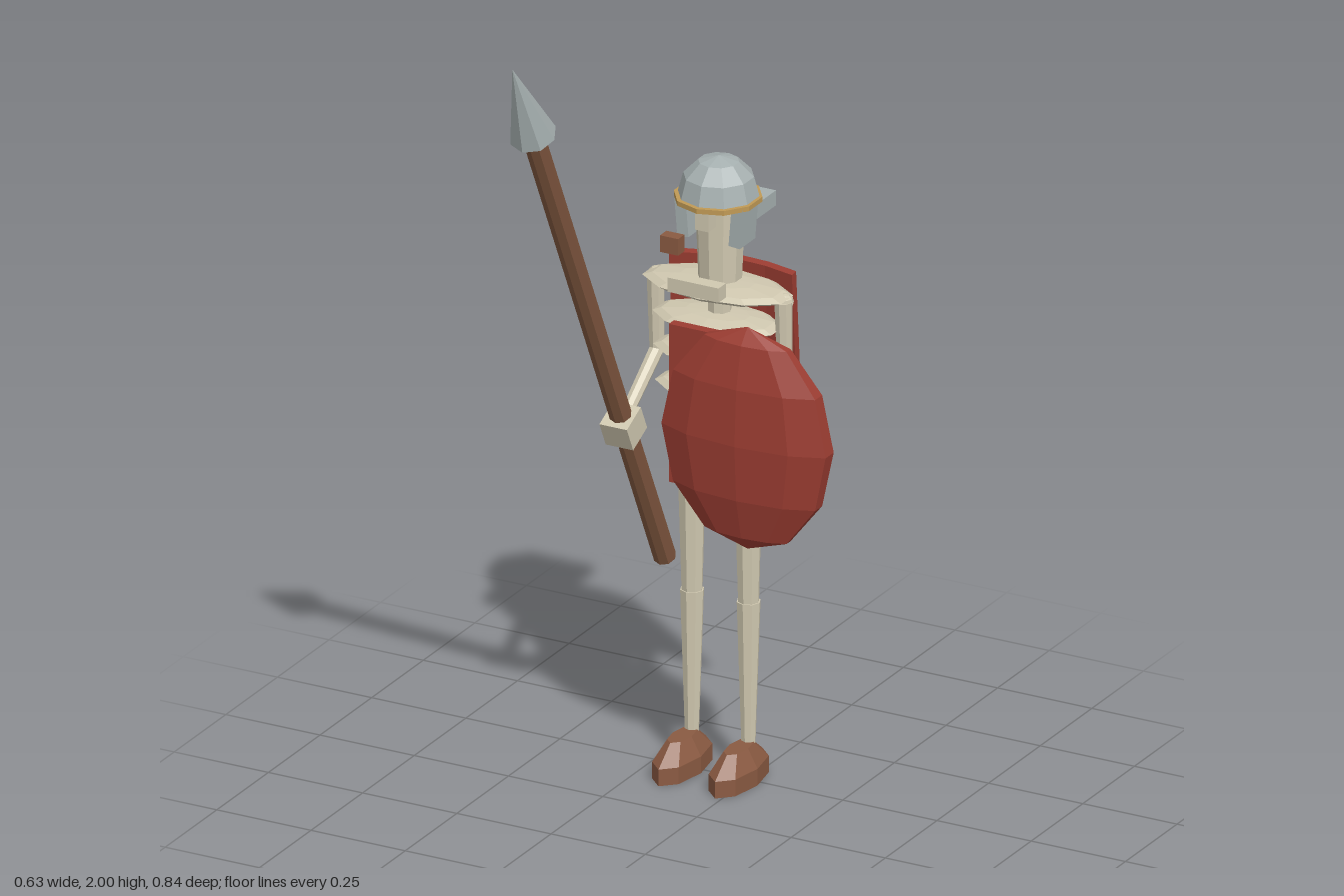
import * as THREE from 'three';

const mat = (name, color) => {
  const m = new THREE.MeshStandardMaterial({ color, flatShading: true });
  m.name = name;
  return m;
};

export function createModel() {
  const bone = mat('bone', 0xd0c8b0);
  const red = mat('red cloth', 0x9c3d32);
  const wood = mat('wood', 0x80573f);
  const leather = mat('leather', 0x8a5a42);
  const steel = mat('steel', 0xa6b0b0);
  const brass = mat('brass', 0xc09a55);

  const root = new THREE.Group();
  root.name = 'skeletonSoldier';
  const CX = -0.09, CZ = -0.275, TILT = 0.454;

  const add = (name, geo, material, x, y, z, parent = root) => {
    const m = new THREE.Mesh(geo, material);
    m.name = name;
    m.position.set(x, y, z);
    parent.add(m);
    return m;
  };
  const box = (name, material, w, h, d, x, y, z) =>
    add(name, new THREE.BoxGeometry(w, h, d), material, x, y, z);
  const ball = (name, material, rx, ry, rz, x, y, z, ws = 10, hs = 6) => {
    const g = new THREE.SphereGeometry(1, ws, hs).rotateY(Math.PI / 2).scale(rx, ry, rz);
    return add(name, g, material, x, y, z);
  };
  // tapered rod between two points
  const rod = (name, material, a, b, ra, rb, sides = 8) => {
    const p = new THREE.Vector3(...a), q = new THREE.Vector3(...b);
    const d = q.clone().sub(p);
    const m = add(name, new THREE.CylinderGeometry(rb, ra, d.length(), sides), material, 0, 0, 0);
    m.position.copy(p).add(q).multiplyScalar(0.5);
    m.quaternion.setFromUnitVectors(new THREE.Vector3(0, 1, 0), d.normalize());
    return m;
  };

  // spine and ribs
  rod('spine', bone, [CX, 0.84, CZ], [CX, 1.26, CZ], 0.028, 0.028);
  [[1.23, 0.194, 0.096], [1.145, 0.166, 0.092], [1.06, 0.164, 0.09], [0.97, 0.16, 0.088]]
    .forEach(([y, rx, rz], i) => ball('rib' + (i + 1), bone, rx, 0.02, rz, CX, y, -0.265));

  // head
  rod('skull', bone, [CX, 1.245, -0.277], [CX, 1.46, -0.277], 0.052, 0.06, 10);
  box('face', bone, 0.035, 0.045, 0.05, CX, 1.418, -0.213);
  box('jaw', bone, 0.136, 0.036, 0.036, CX, 1.262, -0.163);
  box('chinStrapBlock', leather, 0.048, 0.042, 0.031, -0.142, 1.372, -0.14);

  // helmet
  add('helmetDome', new THREE.SphereGeometry(0.097, 10, 3, 0, Math.PI * 2, 0, Math.PI / 2)
    .rotateY(Math.PI / 2), steel, CX, 1.46, -0.27);
  add('helmetBand', new THREE.CylinderGeometry(0.105, 0.105, 0.012, 10), brass, CX, 1.455, -0.267);
  box('neckGuard', steel, 0.17, 0.038, 0.095, CX, 1.42, -0.345);
  for (const s of [-1, 1]) {
    const guard = box('cheekGuard', steel, 0.03, 0.1, 0.075, CX + s * 0.072, 1.405, -0.258);
    guard.rotation.z = -s * 0.08;
  }

  // arms and hands
  for (const [side, x] of [['right', -0.26], ['left', 0.079]]) {
    ball(side + 'Shoulder', bone, 0.023, 0.023, 0.023, x, 1.215, -0.28, 8, 6);
    rod(side + 'UpperArm', bone, [x, 1.22, -0.275], [x, 1.02, -0.282], 0.022, 0.018);
    ball(side + 'Elbow', bone, 0.018, 0.018, 0.018, x, 1.025, -0.28, 8, 6);
    rod(side + 'Forearm', bone, [x, 1.03, -0.285], [x, 0.915, -0.13], 0.018, 0.016);
    box(side + 'Hand', bone, 0.073, 0.07, 0.075, x, 0.893, -0.118).rotation.x = TILT;
  }

  // legs and boots
  const bootProfile = [[0, 0], [1, 0], [1, 0.042], [0.5, 0.088], [0, 0.088]]
    .map(([r, y]) => new THREE.Vector2(r, y));
  for (const [side, s] of [['right', -1], ['left', 1]]) {
    const x = CX + s * 0.075;
    rod(side + 'Thigh', bone, [x, 0.42, -0.278], [x, 0.82, -0.276], 0.025, 0.036);
    rod(side + 'Shin', bone, [x, 0.07, -0.277], [x, 0.44, -0.278], 0.017, 0.029);
    const boot = new THREE.LatheGeometry(bootProfile, 8).scale(0.05, 1, 0.115);
    add(side + 'Boot', boot, leather, x, 0, -0.23);
  }

  // tabard panels, front and back
  box('frontTabard', red, 0.124, 0.4, 0.025, CX, 0.965, -0.154);
  box('backTabard', red, 0.122, 0.4, 0.027, CX, 0.965, -0.408);

  // cape: a tilted slab bent around the back
  const cape = new THREE.BoxGeometry(0.32, 0.53, 0.022, 4, 1, 1);
  const p = cape.attributes.position;
  for (let i = 0; i < p.count; i++) p.setZ(i, p.getZ(i) + 1.0 * p.getX(i) ** 2);
  const capeMesh = add('cape', cape, red, -0.095, 0.997, -0.389);
  capeMesh.rotation.set(0.075, 0.04, 0);

  // oval shield
  ball('shield', red, 0.229, 0.281, 0.064, 0.095, 0.954, -0.072);

  // spear leaning forward
  const spear = new THREE.Group();
  spear.name = 'spear';
  spear.position.set(-0.26, 0.485, -0.32);
  spear.rotation.x = TILT;
  root.add(spear);
  add('spearShaft', new THREE.CylinderGeometry(0.027, 0.027, 1.47, 8), wood, 0, 0.735, 0, spear);
  add('spearHead', new THREE.ConeGeometry(0.057, 0.228, 8), steel, 0, 1.572, 0, spear);

  return root;
}
